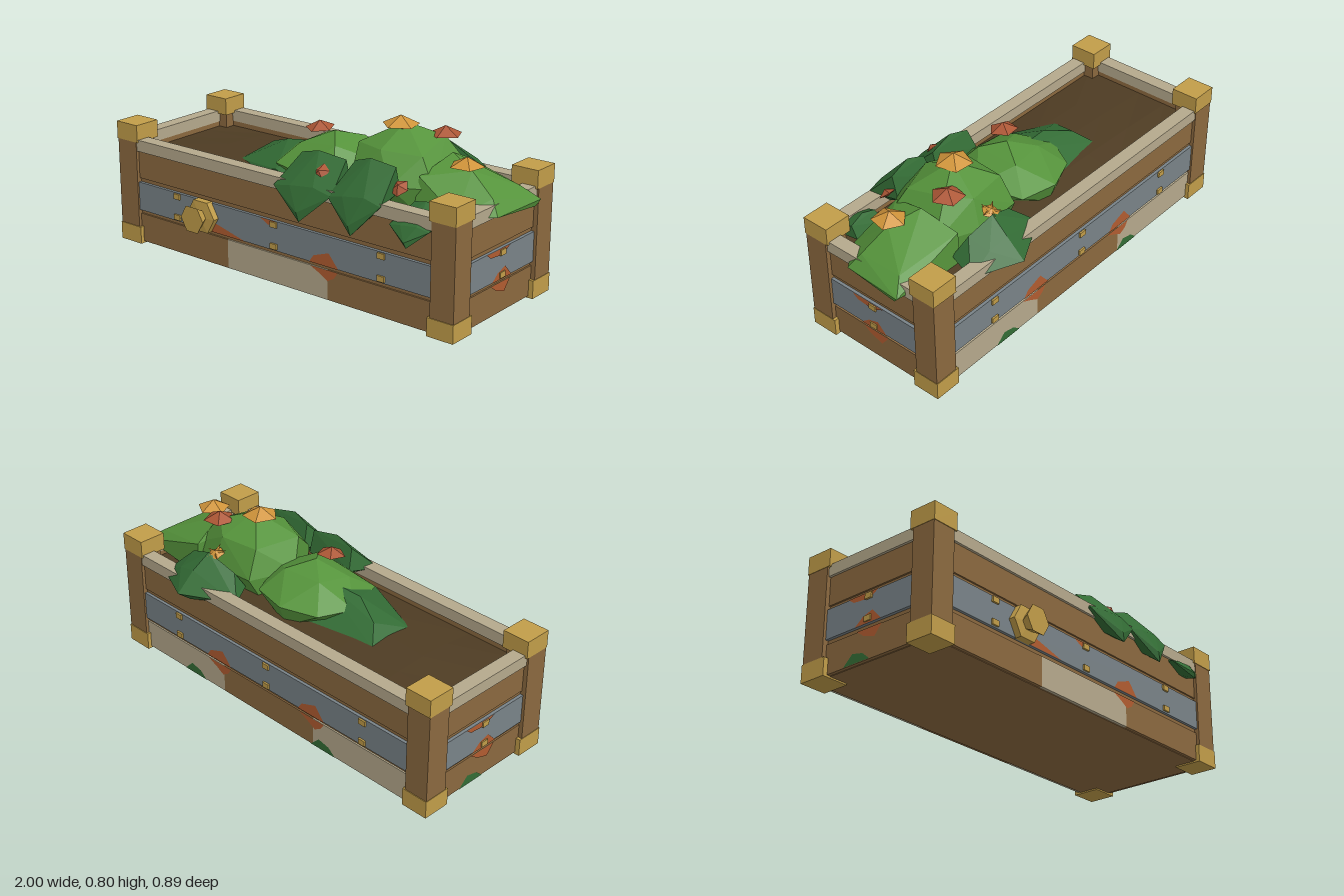
import * as THREE from 'three';
import { ConvexGeometry } from 'three/addons/geometries/ConvexGeometry.js';

const paint = (name, color) => {
  const m = new THREE.MeshStandardMaterial({ color });
  m.name = name;
  return m;
};

export function createModel() {
  const wood = paint('wood', 0x8b693f);
  const paleWood = paint('pale wood', 0xb5a98c);
  const metal = paint('grey metal', 0x798388);
  const brass = paint('brass', 0xc19d49);
  const soil = paint('soil', 0x4e3c23);
  const rust = paint('rust', 0xb15c30);
  const yellow = paint('yellow petals', 0xd0943a);
  const red = paint('red petals', 0xac5635);
  const leaf = paint('leaf green', 0x55933b);
  const darkLeaf = paint('dark leaf green', 0x336c35);

  const model = new THREE.Group();
  model.name = 'planter';
  const box = new THREE.Group();
  box.name = 'planterBox';
  box.position.x = -0.02;
  model.add(box);

  const add = (parent, name, geo, mat, x = 0, y = 0, z = 0) => {
    const mesh = new THREE.Mesh(geo, mat);
    mesh.name = name;
    mesh.position.set(x, y, z);
    parent.add(mesh);
    return mesh;
  };
  // Box given by its limits along x, y and z
  const block = (parent, name, mat, x0, x1, y0, y1, z0, z1) =>
    add(parent, name, new THREE.BoxGeometry(x1 - x0, y1 - y0, z1 - z0), mat,
      (x0 + x1) / 2, (y0 + y1) / 2, (z0 + z1) / 2);
  // Faceted surface of revolution
  const facetLathe = (profile, sides, start = 0) => {
    const geo = new THREE.LatheGeometry(profile.map(p => new THREE.Vector2(...p)), sides, start).toNonIndexed();
    geo.computeVertexNormals();
    return geo;
  };
  const hull = (name, mat, pts) =>
    add(model, name, new ConvexGeometry(pts.map(p => new THREE.Vector3(...p))), mat);

  // Corner posts with brass caps at both ends
  for (const sx of [-1, 1]) for (const sz of [-1, 1]) {
    const x = sx * 0.918, z = sz * 0.3125;
    add(box, 'cornerPost', new THREE.BoxGeometry(0.12, 0.5, 0.118), wood, x, 0.3, z);
    for (const y of [0.0425, 0.5525])
      add(box, 'postCap', new THREE.BoxGeometry(0.134, 0.085, 0.136), brass, sx * 0.913, y, sz * 0.307);
  }

  // One wall: local x runs along it, local z points outwards; the band stands proud of the planks
  const wall = (name, angle, half, depth, planks, rivets, patches) => {
    const g = new THREE.Group();
    g.name = name;
    g.rotation.y = angle;
    box.add(g);
    const inner = depth - 0.05, bandFront = depth + 0.007;
    for (const [x0, x1, mat] of planks) block(g, 'lowerPlank', mat, x0, x1, 0.01, 0.15, inner, depth);
    block(g, 'wallCore', wood, -half, half, 0.14, 0.34, inner, depth - 0.008);
    block(g, 'metalBand', metal, -half, half, 0.17, 0.31, inner - 0.002, bandFront);
    block(g, 'upperPlank', wood, -half, half, 0.33, 0.466, inner, depth);
    block(g, 'rim', paleWood, -half, half, 0.466, 0.522, depth - 0.055, depth + 0.012);
    for (const x of rivets) for (const y of [0.19, 0.293])
      block(g, 'rivet', brass, x - 0.019, x + 0.019, y - 0.013, y + 0.013, depth, bandFront + 0.009);
    for (const [label, mat, pts] of patches) {
      const shape = new THREE.Shape(pts.map(p => new THREE.Vector2(...p)));
      const onBand = pts.some(q => q[1] > 0.16);
      add(g, label, new THREE.ShapeGeometry(shape), mat, 0, 0, (onBand ? bandFront : depth) + 0.003);
    }
  };
  // A rust stain spreads over the band and the plank below it
  const rustSpot = x => [
    ['bandRust', rust, [[-0.085, 0.17], [-0.06, 0.205], [0.025, 0.235], [0.08, 0.17]]],
    ['plankRust', rust, [[-0.085, 0.15], [0.07, 0.15], [0.05, 0.12], [0.015, 0.1], [-0.03, 0.125]]],
  ].map(([label, mat, pts]) => [label, mat, pts.map(([a, b]) => [x + a, b])]);
  const mossSpot = x => ['mossPatch', darkLeaf, [[x - 0.08, 0.011], [x + 0.07, 0.011], [x + 0.03, 0.045], [x - 0.03, 0.058]]];
  const endRust = [
    ['bandRust', rust, [[-0.075, 0.17], [-0.03, 0.205], [0.025, 0.222], [0.075, 0.17]]],
    ['plankRust', rust, [[-0.07, 0.15], [0.075, 0.15], [0.035, 0.1], [-0.03, 0.122]]],
    ['bandRust', rust, [[-0.12, 0.31], [-0.09, 0.288], [0.0, 0.28], [0.06, 0.31]]],
  ];
  const along = [-0.6, 0, 0.6];
  wall('frontWall', 0, 0.86, 0.356,
    [[-0.86, -0.29, wood], [-0.29, 0.3, paleWood], [0.3, 0.86, wood]], along, [
      ...rustSpot(0.29),
      ['bandRust', rust, [[-0.42, 0.17], [-0.39, 0.225], [-0.27, 0.195], [-0.17, 0.17]]],
      ['bandRust', rust, [[-0.08, 0.31], [-0.03, 0.285], [0.01, 0.31]]]]);
  wall('backWall', Math.PI, 0.86, 0.356,
    [[-0.86, -0.3, paleWood], [-0.3, 0.29, wood], [0.29, 0.86, paleWood]], along,
    [...rustSpot(-0.32), ...rustSpot(0.29), mossSpot(-0.5), mossSpot(0.36)]);
  wall('leftEndWall', Math.PI / 2, 0.256, 0.957, [[-0.256, 0.256, wood]], [0], endRust);
  wall('rightEndWall', -Math.PI / 2, 0.256, 0.957, [[-0.256, 0.256, wood]], [0], [...endRust, mossSpot(-0.06)]);

  // Slightly heaped soil and the wooden floor under it
  const earth = new THREE.BoxGeometry(1.82, 0.42, 0.62, 6, 1, 4).toNonIndexed();
  const p = earth.attributes.position;
  for (let i = 0; i < p.count; i++) {
    if (p.getY(i) < 0) continue;
    const u = p.getX(i) / 0.91, v = p.getZ(i) / 0.31;
    p.setY(i, 0.21 + 0.04 * (1 - u * u) * (1 - v * v));
  }
  earth.computeVertexNormals();
  add(box, 'soil', earth, soil, 0, 0.23, 0);
  block(box, 'floor', wood, -0.94, 0.94, 0.007, 0.02, -0.34, 0.34);

  // Six-sided brass tap knob on the front
  const knob = facetLathe([[0, 0], [0.085, 0], [0.085, 0.035], [0.038, 0.04], [0.07, 0.092], [0, 0.092]], 6, Math.PI / 2);
  knob.rotateX(Math.PI / 2);
  add(model, 'knob', knob, brass, -0.445, 0.242, 0.358);

  // Leafy mounds, each a faceted hull
  hull('tallMound', leaf, [[0.43, 0.772, 0], [0.58, 0.715, -0.09], [0.28, 0.68, -0.14], [0.25, 0.67, 0.1], [0.42, 0.68, 0.168],
    [0.6, 0.67, 0.11], [0.48, 0.68, -0.165], [0.17, 0.56, 0.0], [0.3, 0.56, 0.215], [0.52, 0.55, 0.235], [0.69, 0.55, 0.15],
    [0.7, 0.56, -0.14], [0.5, 0.55, -0.215], [0.26, 0.55, -0.205], [0.4, 0.44, 0.2], [0.62, 0.44, 0.17], [0.24, 0.44, 0.15],
    [0.24, 0.44, -0.15], [0.6, 0.44, -0.17]]);
  hull('middleMound', leaf, [[0.05, 0.665, 0.02], [0.13, 0.63, -0.1], [-0.06, 0.62, -0.07], [-0.09, 0.6, 0.09], [0.13, 0.63, 0.12],
    [-0.23, 0.53, -0.02], [0.02, 0.53, -0.24], [0.2, 0.53, -0.2], [0.28, 0.56, 0.0], [0.2, 0.52, 0.21], [0.04, 0.51, 0.245],
    [-0.14, 0.52, 0.21], [-0.15, 0.52, -0.17], [-0.15, 0.42, 0.0], [0.02, 0.42, 0.2], [0.02, 0.42, -0.2], [0.2, 0.42, 0.0]]);
  hull('lowMound', darkLeaf, [[-0.43, 0.46, -0.11], [-0.43, 0.46, 0.13], [-0.36, 0.525, -0.03], [-0.22, 0.575, 0.03],
    [-0.27, 0.46, 0.2], [-0.22, 0.46, -0.13], [0.0, 0.6, 0], [0.0, 0.46, 0.245], [0.0, 0.45, -0.2], [-0.12, 0.5, 0.235]]);
  hull('endMound', leaf, [[0.66, 0.67, -0.03], [0.93, 0.542, 0.065], [0.93, 0.542, -0.155], [1.0, 0.485, -0.205], [0.98, 0.48, 0.1],
    [0.99, 0.458, -0.18], [0.62, 0.6, 0.16], [0.62, 0.6, -0.2], [0.84, 0.48, 0.2], [0.62, 0.44, 0.2], [0.62, 0.44, -0.21],
    [0.8, 0.63, 0.03]]);
  hull('backMound', darkLeaf, [[0.48, 0.49, -0.445], [0.23, 0.49, -0.31], [0.7, 0.48, -0.34], [0.47, 0.64, -0.26],
    [0.33, 0.575, -0.23], [0.6, 0.59, -0.24], [0.48, 0.575, -0.35], [0.58, 0.55, -0.34], [0.3, 0.5, -0.19],
    [0.66, 0.5, -0.2], [0.47, 0.44, -0.38]]);

  // Sprays leaning out over the front rim: centre x, half width, top, tip, front z
  for (const [x, w, top, tip, z] of [[0.16, 0.16, 0.65, 0.37, 0.435], [0.44, 0.14, 0.67, 0.37, 0.43], [0.73, 0.1, 0.54, 0.385, 0.43]]) {
    const h = top - tip;
    hull('hangingSpray', darkLeaf, [[x + 0.02, tip, z - 0.005], [x + 0.01, tip + 0.15 * h, z],
      [x - w, tip + 0.43 * h, z - 0.05], [x + w, tip + 0.47 * h, z - 0.055],
      [x - 0.4 * w, tip + 0.5 * h, z - 0.045], [x + 0.4 * w, tip + 0.55 * h, z - 0.05],
      [x - 0.65 * w, tip + 0.9 * h, z - 0.18], [x, top, z - 0.17], [x + 0.85 * w, tip + 0.93 * h, z - 0.19],
      [x - 0.8 * w, tip + 0.55 * h, z - 0.22], [x + 0.85 * w, tip + 0.55 * h, z - 0.22], [x, tip + 0.3 * h, z - 0.09]]);
  }

  // Five-sided blossoms: material, position, radius, tilt about x
  for (const [mat, x, y, z, r, tilt] of [
    [yellow, 0.41, 0.757, 0.01, 0.086, 0], [yellow, 0.78, 0.65, 0.04, 0.08, 0], [yellow, 0.45, 0.63, -0.232, 0.042, -0.3],
    [red, 0.57, 0.718, -0.1, 0.078, 0], [red, 0.01, 0.685, 0.075, 0.068, 0.1],
    [red, 0.215, 0.575, 0.32, 0.044, 0.9], [red, 0.585, 0.565, 0.25, 0.045, 0.7]]) {
    const geo = facetLathe([[0, -0.25 * r], [r, 0], [0, 0.5 * r]], 5, x * 9);
    add(model, 'blossom', geo, mat, x, y, z).rotation.x = tilt;
  }
  // Thin petals spread around the back blossom
  const spread = new THREE.Group();
  spread.name = 'backPetals';
  spread.position.set(0.45, 0.637, -0.235);
  spread.rotation.x = -0.4;
  model.add(spread);
  for (let i = 0; i < 5; i++) {
    const petal = new THREE.ConeGeometry(0.012, 0.052, 4).translate(0, 0.026, 0).rotateZ(-1.5);
    add(spread, 'petal', petal, yellow).rotation.y = i * Math.PI * 0.4;
  }
  return model;
}
